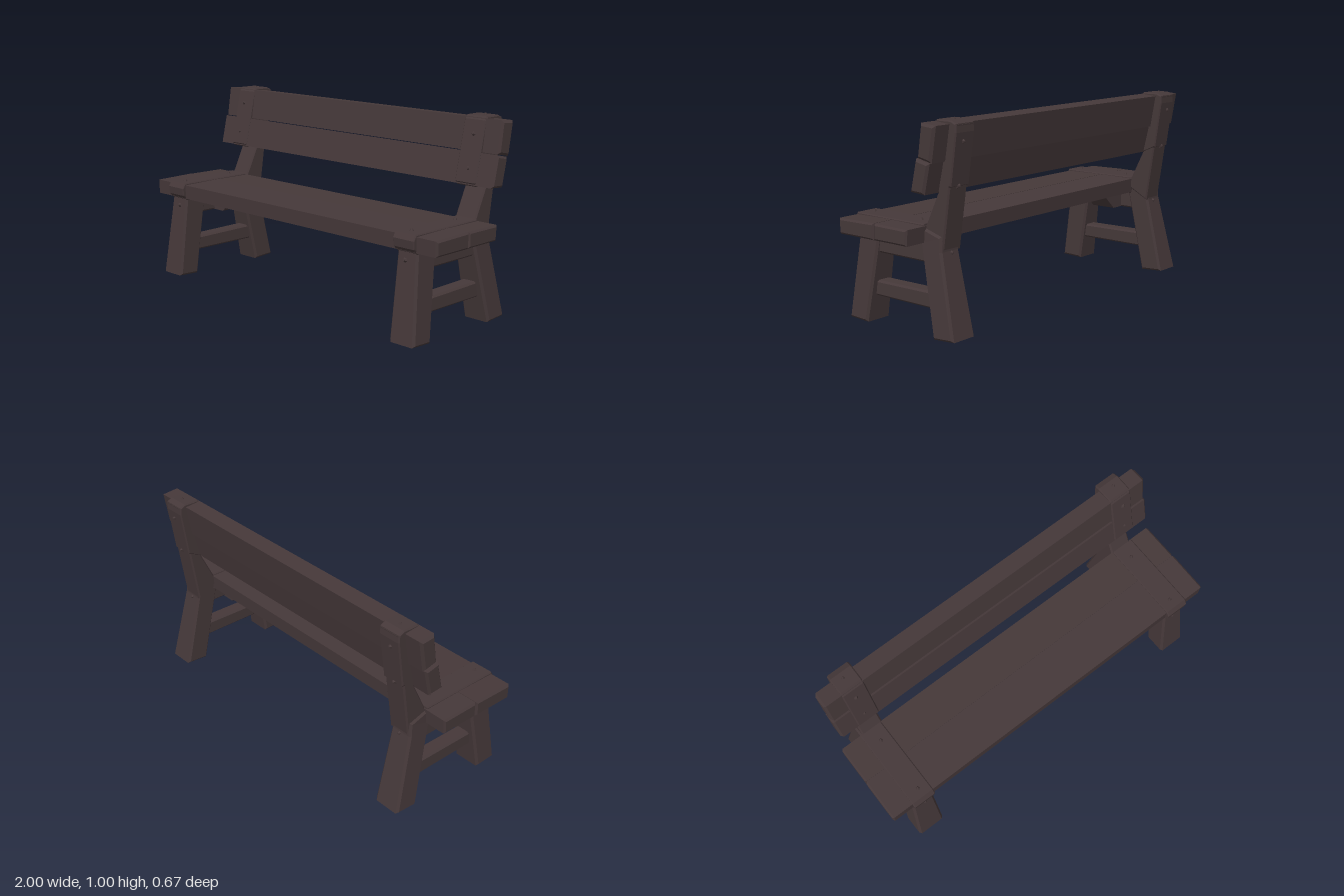
import * as THREE from 'three';

const wood = new THREE.MeshStandardMaterial({ color: 0x453839 });
wood.name = 'darkWood';

// Chamfered beam: a side outline of [z, y] points run from x0 to x1
function beam(name, outline, x0, x1, bevel = 0.009, bend = null) {
  const shape = new THREE.Shape(outline.map(([z, y]) => new THREE.Vector2(z, y)));
  const geo = new THREE.ExtrudeGeometry(shape, {
    depth: x1 - x0 - 2 * bevel, bevelEnabled: true, bevelSegments: 1,
    bevelSize: bevel, bevelOffset: -bevel, bevelThickness: bevel,
  });
  geo.rotateY(-Math.PI / 2);
  geo.translate(x1 - bevel, 0, 0);
  if (bend) {
    const p = geo.attributes.position;
    for (let i = 0; i < p.count; i++) p.setX(i, bend(p.getX(i), p.getY(i)));
    geo.computeVertexNormals();
  }
  const mesh = new THREE.Mesh(geo, wood);
  mesh.name = name;
  return mesh;
}

// Small faceted nail head pointing along dir
function nail(x, y, z, dir) {
  const geo = new THREE.CylinderGeometry(0.005, 0.016, 0.018, 5).toNonIndexed();
  geo.computeVertexNormals();
  const mesh = new THREE.Mesh(geo, wood);
  mesh.name = 'nailHead';
  mesh.position.set(x, y, z);
  mesh.quaternion.setFromUnitVectors(new THREE.Vector3(0, 1, 0), new THREE.Vector3(...dir).normalize());
  return mesh;
}

// Leg frame for one end, laid out at the +x side
function createEnd(side) {
  const end = new THREE.Group();
  end.name = side > 0 ? 'leftEnd' : 'rightEnd';
  const place = (name, outline, x0, x1, bevel, bend) => {
    const [a, b] = side > 0 ? [x0, x1] : [-x1, -x0];
    end.add(beam(name, outline, a, b, bevel, bend && ((x, y) => side * bend(side * x, y))));
  };
  // outer faces splay towards the floor
  const splay = (x, y) => x + (x > 0.82 ? 0.033 * Math.max(0, 1 - y / 0.45) : 0);

  place('frontLeg', [[0.337, 0.005], [0.217, 0], [0.153, 0.435], [0.285, 0.435]], 0.762, 0.88, 0.011, splay);
  place('backLeg', [[-0.213, 0], [-0.337, 0.008], [-0.245, 0.4], [-0.24, 0.47], [-0.135, 0.5], [-0.115, 0.43]],
    0.762, 0.88, 0.011, splay);
  place('backPost', [[-0.135, 0.5], [-0.13, 0.46], [-0.243, 0.4], [-0.33, 0.975], [-0.285, 0.99], [-0.218, 0.67]],
    0.75, 0.87, 0.008);
  place('seatSupport', [[0.18, 0.338], [0.18, 0.432], [-0.15, 0.432], [-0.16, 0.338]], 0.775, 0.87);
  place('legStretcher', [[0.21, 0.125], [0.21, 0.2], [-0.21, 0.205], [-0.23, 0.125]], 0.785, 0.865);
  // gusset running inwards below the seat
  place('seatGusset', [[0.08, 0.34], [0.08, 0.432], [-0.06, 0.432], [-0.06, 0.34]], 0.7, 0.78, 0.004,
    (x, y) => x - (x < 0.74 ? 0.1 * (y - 0.34) / 0.09 : 0));
  // bands wrapped over the seat and the backrest
  place('seatBand', [[0.28, 0.422], [0.31, 0.45], [0.315, 0.49], [0.298, 0.517], [-0.14, 0.517], [-0.14, 0.425]],
    0.757, 0.882, 0.005);
  place('backBand', [[-0.134, 0.685], [-0.15, 0.667], [-0.22, 0.665], [-0.295, 0.7], [-0.33, 0.94], [-0.329, 0.98],
    [-0.3, 0.993], [-0.215, 0.993], [-0.199, 0.975]], 0.747, 0.87, 0.006);

  const nails = [
    [0.518, 0.25, [0, 1, 0]], [0.518, -0.06, [0, 1, 0]], [0.39, 0.293, [0, 0.2, 1]],
    [0.91, -0.183, [0, 0.3, 1]], [0.75, -0.151, [0, 0.3, 1]], [0.991, -0.27, [0, 1, 0]],
    [0.9, -0.325, [0, 0, -1]], [0.7, -0.295, [0, 0, -1]], [0.39, -0.247, [0, 0, -1]],
  ];
  for (const [y, z, dir] of nails) end.add(nail(side * 0.815, y, z, dir));
  return end;
}

export function createModel() {
  const bench = new THREE.Group();
  bench.name = 'bench';

  // seat planks
  bench.add(beam('frontSeatPlank', [[0.293, 0.432], [0.296, 0.507], [0.066, 0.511], [0.068, 0.432]], -1, 1));
  bench.add(beam('rearSeatPlank', [[0.067, 0.432], [0.065, 0.51], [-0.145, 0.508], [-0.14, 0.432]], -0.998, 0.998));

  // leaning backrest planks, the lower one set slightly forward
  bench.add(beam('upperBackPlank', [[-0.182, 0.828], [-0.265, 0.811], [-0.294, 0.977], [-0.206, 0.985]], -0.967, 0.965, 0.012));
  bench.add(beam('lowerBackPlank', [[-0.138, 0.674], [-0.222, 0.668], [-0.255, 0.809], [-0.173, 0.826]], -0.968, 0.966, 0.011));

  for (const side of [1, -1]) bench.add(createEnd(side));
  return bench;
}
